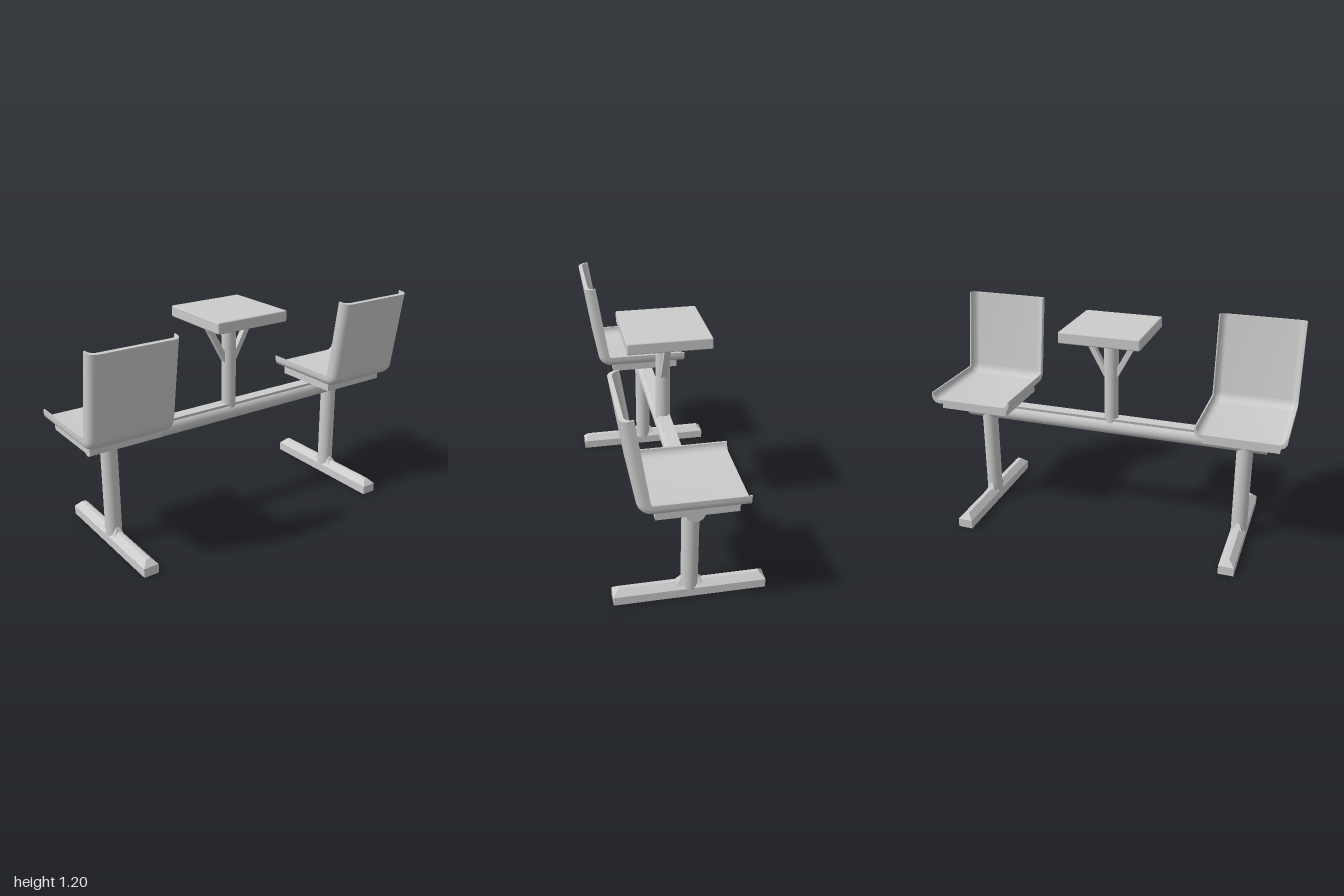
import * as THREE from 'three';
import { RoundedBoxGeometry } from 'three/addons/geometries/RoundedBoxGeometry.js';
import { toCreasedNormals } from 'three/addons/utils/BufferGeometryUtils.js';

const grey = new THREE.MeshStandardMaterial({ color: 0xcccccc });

function add(parent, name, geometry, x = 0, y = 0, z = 0) {
  const mesh = new THREE.Mesh(geometry, grey);
  mesh.name = name;
  mesh.position.set(x, y, z);
  parent.add(mesh);
  return mesh;
}

// Box standing on y = 0 whose top face has its own width and depth
function taperedBox(w, h, d, topW, topD) {
  const g = new THREE.BoxGeometry(w, h, d).translate(0, h / 2, 0);
  const p = g.attributes.position;
  for (let i = 0; i < p.count; i++) {
    if (p.getY(i) > h / 2) p.setXYZ(i, p.getX(i) * topW / w, h, p.getZ(i) * topD / d);
  }
  g.computeVertexNormals();
  return g;
}

// Flat plate cut from an outline, centred on z
function plate(points, depth) {
  const shape = new THREE.Shape(points.map(([x, y]) => new THREE.Vector2(x, y)));
  return new THREE.ExtrudeGeometry(shape, { depth, bevelEnabled: false }).translate(0, 0, -depth / 2);
}

// Moulded seat shell: a tray section swept along the pan, round the bend and up the back
function seatShell() {
  const half = 0.238, rim = 0.062, floor = 0.022, r = 0.04, steps = 6;

  // Section: matching outer and inner points as [x, height above the underside]
  const outer = [], inner = [];
  const push = (s, k) => {
    const a = (k / steps) * Math.PI / 2;
    outer.push([s * (half - r + r * Math.sin(a)), r - r * Math.cos(a)]);
    inner.push([s * (half - 0.046 + 0.038 * Math.sin(a)), floor + 0.038 * (1 - Math.cos(a))]);
  };
  outer.push([-half, rim]);
  inner.push([-half + 0.006, rim]);
  for (let k = steps; k >= 0; k--) push(-1, k);
  for (let k = 0; k <= steps; k++) push(1, k);
  outer.push([half, rim]);
  inner.push([half - 0.006, rim]);
  const n = outer.length;
  const loop = [...outer, ...inner.slice().reverse()];
  const m = loop.length;

  // Path of the underside: z, y and the direction angle in the z-y plane
  const lean = Math.PI / 2 - 0.15, bend = 0.075, bendZ = 0.222, bottom = 0.688;
  const path = [[-0.232, bottom, 0]];
  for (let i = 0; i <= 10; i++) {
    const a = lean * i / 10;
    path.push([bendZ + bend * Math.sin(a), bottom + bend * (1 - Math.cos(a)), a]);
  }
  const [ez, ey] = path[path.length - 1];
  const rise = 1.19 - ey;
  path.push([ez + rise / Math.tan(lean), 1.19, lean]);

  const pos = [], idx = [];
  for (const [z, y, a] of path) {
    for (const [x, h] of loop) pos.push(x, y + h * Math.cos(a), z - h * Math.sin(a));
  }
  for (let i = 0; i < path.length - 1; i++) {
    for (let j = 0; j < m; j++) {
      const a = i * m + j, b = i * m + (j + 1) % m, c = a + m, d = b + m;
      idx.push(a, b, c, b, d, c);
    }
  }
  // Edge strips closing the pan front and the top of the back
  const last = (path.length - 1) * m;
  for (let j = 0; j < n - 1; j++) {
    const o = j, o2 = j + 1, i1 = m - 1 - j, i2 = m - 2 - j;
    idx.push(o, i1, o2, o2, i1, i2);
    idx.push(last + o, last + o2, last + i1, last + o2, last + i2, last + i1);
  }
  const g = new THREE.BufferGeometry();
  g.setAttribute('position', new THREE.Float32BufferAttribute(pos, 3));
  g.setIndex(idx);
  return toCreasedNormals(g, 0.6);
}

export function createModel() {
  const model = new THREE.Group();
  model.name = 'beamSeating';

  // Beam with a flat mounting rail along its top
  const beam = new THREE.CylinderGeometry(0.048, 0.048, 1.76, 32).rotateZ(Math.PI / 2);
  add(model, 'beam', beam, 0, 0.588, 0);
  add(model, 'mountingRail', taperedBox(1.6, 0.038, 0.05, 1.6, 0.07), 0, 0.602, 0);

  // Seats and legs, one set at each end
  const shell = seatShell();
  for (const [side, s] of [['left', 1], ['right', -1]]) {
    const seat = new THREE.Group();
    seat.name = side + 'Seat';
    seat.position.x = s * 0.762;
    add(seat, 'seatShell', shell);
    add(seat, 'seatPlate', new THREE.BoxGeometry(0.4, 0.05, 0.4), 0, 0.667, 0.01);
    model.add(seat);

    const leg = new THREE.Group();
    leg.name = side + 'Leg';
    leg.position.x = s * 0.76;
    add(leg, 'legPost', new THREE.CylinderGeometry(0.045, 0.045, 0.53, 32), 0, 0.305, 0);
    add(leg, 'footBase', new THREE.BoxGeometry(0.084, 0.05, 0.8), 0, 0.025, 0);
    add(leg, 'footRidge', taperedBox(0.084, 0.032, 0.8, 0.022, 0.74), 0, 0.05, 0);
    add(leg, 'footGusset', taperedBox(0.07, 0.065, 0.16, 0.008, 0.08), 0, 0.05, 0);
    model.add(leg);
  }

  // Small table on a braced post between the seats
  const table = new THREE.Group();
  table.name = 'table';
  add(table, 'tableTop', new RoundedBoxGeometry(0.445, 0.062, 0.448, 2, 0.007), 0, 1.15, 0);
  add(table, 'tablePost', new THREE.CylinderGeometry(0.04, 0.04, 0.51, 32), 0, 0.87, 0);
  const strut = [[0.02, 0.88], [0.036, 0.88], [0.168, 1.122], [0.135, 1.122], [0.02, 0.912]];
  for (const s of [1, -1]) {
    const brace = add(table, 'tableBrace', plate(strut, 0.034));
    if (s < 0) brace.rotation.y = Math.PI;
  }
  model.add(table);

  return model;
}
